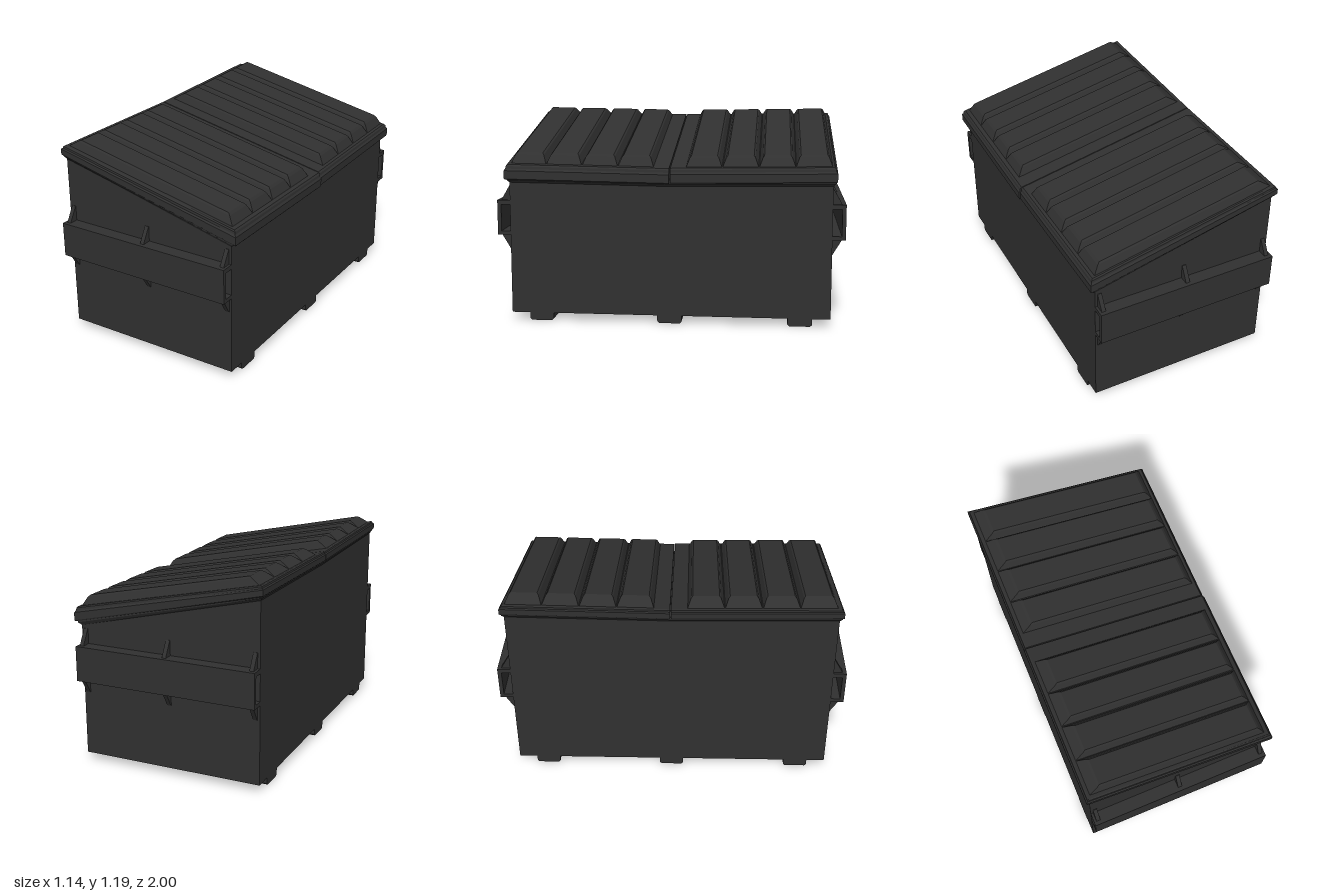
import * as THREE from 'three';

const steel = new THREE.MeshStandardMaterial({ color: 0x303030 });
steel.name = 'dark grey';

// Height of the sloping lid plane, o above or below it, with a slight sag at the middle
const slopeY = (x, z, o) =>
  1.037 - 0.215 * x + (o < 0 ? o * (1 + 0.3 * x) : o) - 0.014 * (1 - Math.abs(z) / 0.95);

// Flat-faced loft through rectangular rings [x0, x1, z0, z1, offset] lying on the slope
function slopedLoft(rings) {
  const pos = [];
  const loops = rings.map(([x0, x1, z0, z1, o]) =>
    [[x0, z1], [x1, z1], [x1, z0], [x0, z0]].map(([x, z]) => [x, slopeY(x, z, o), z]));
  const quad = (a, b, c, d) => pos.push(...a, ...b, ...c, ...a, ...c, ...d);
  for (let i = 0; i < loops.length - 1; i++) {
    for (let k = 0; k < 4; k++) {
      const n = (k + 1) % 4;
      quad(loops[i][k], loops[i][n], loops[i + 1][n], loops[i + 1][k]);
    }
  }
  const [b, t] = [loops[0], loops[loops.length - 1]];
  quad(t[0], t[1], t[2], t[3]);
  quad(b[3], b[2], b[1], b[0]);
  const g = new THREE.BufferGeometry();
  g.setAttribute('position', new THREE.Float32BufferAttribute(pos, 3));
  g.computeVertexNormals();
  return g;
}

// Extrude a closed outline of [x, y] points
function extrude(points, depth) {
  const shape = new THREE.Shape(points.map(([x, y]) => new THREE.Vector2(x, y)));
  return new THREE.ExtrudeGeometry(shape, { depth, bevelEnabled: false });
}

export function createModel() {
  const model = new THREE.Group();
  model.name = 'dumpster';
  const add = (name, geometry, parent = model) => {
    const mesh = new THREE.Mesh(geometry, steel);
    mesh.name = name;
    parent.add(mesh);
    return mesh;
  };
  const X0 = -0.55, X1 = 0.53, XM = (X0 + X1) / 2, XL = X1 - X0;

  // Bin body with sloping top
  add('body', extrude([[X0, 0.045], [X1, 0.045], [X1, 0.84], [X0, 1.085]], 1.85).translate(0, 0, -0.925));

  // Skids under the floor, with chamfered lower edges
  for (const z of [-0.75, 0, 0.75]) {
    const skid = extrude([[-0.07, 0.046], [-0.07, 0.01], [-0.06, 0], [0.06, 0], [0.07, 0.01], [0.07, 0.046]], XL);
    add('skid', skid.rotateY(Math.PI / 2).translate(X0, 0, z));
  }

  // Fork pockets with gussets at both ends
  for (const s of [1, -1]) {
    const pocket = new THREE.Group();
    pocket.name = s > 0 ? 'frontForkPocket' : 'backForkPocket';
    if (s < 0) pocket.scale.z = -1;
    model.add(pocket);
    const plate = (name, h, d, y, z) =>
      add(name, new THREE.BoxGeometry(XL, h, d).translate(XM, y, z), pocket);
    plate('pocketFace', 0.203, 0.022, 0.6065, 0.989);
    plate('pocketTop', 0.026, 0.056, 0.695, 0.951);
    plate('pocketBottom', 0.022, 0.056, 0.516, 0.951);
    for (const x of [-0.523, -0.011, 0.504]) {
      for (const [y, tip] of [[0.707, 0.795], [0.506, 0.42]]) {
        const dir = Math.sign(tip - y);
        const outline = [[0.92, y], [0.978, y], [0.972, y + dir * 0.012], [0.935, tip - dir * 0.012], [0.928, tip], [0.92, tip]];
        const gusset = extrude(outline, 0.024).rotateY(-Math.PI / 2).translate(x + 0.012, 0, 0);
        add('gusset', gusset, pocket);
      }
    }
  }

  // Flared rim and two ribbed lids
  const halves = [
    { name: 'backLid', z0: -0.947, z1: -0.008, x1: 0.56, ribs: [-0.817, -0.612, -0.405, -0.198] },
    { name: 'frontLid', z0: -0.002, z1: 0.947, x1: 0.566, ribs: [0.19, 0.397, 0.605, 0.81] },
  ];
  for (const { name, z0, z1, x1, ribs } of halves) {
    const front = z1 > 0;
    const [ra, rb] = front ? [0, 0.925] : [-0.925, 0];
    const [fa, fb] = front ? [0, 0.938] : [-0.938, 0];
    add('rim', slopedLoft([
      [X0, X1, ra, rb, -0.095],
      [X0 - 0.012, X1 + 0.018, fa, fb, -0.078],
      [X0 - 0.012, X1 + 0.018, fa, fb, -0.06],
    ]));

    const lid = new THREE.Group();
    lid.name = name;
    model.add(lid);
    // Inset a ring on its three outer edges
    const ring = (d, o) => [-0.57 + d, x1 + 0.004 - d, front ? z0 : z0 + d, front ? z1 - d : z1, o];
    add('lidShell', slopedLoft([
      ring(0.004, -0.07), ring(0, -0.064), ring(0, -0.026),
      ring(0.008, -0.018), ring(0.01, -0.006), ring(0.018, 0),
    ]), lid);
    for (const z of ribs) {
      add('lidRib', slopedLoft([
        [-0.54, 0.53, z - 0.102, z + 0.102, -0.002],
        [-0.487, 0.501, z - 0.083, z + 0.083, 0.042],
        [-0.472, 0.488, z - 0.074, z + 0.074, 0.051],
      ]), lid);
    }
  }
  return model;
}
